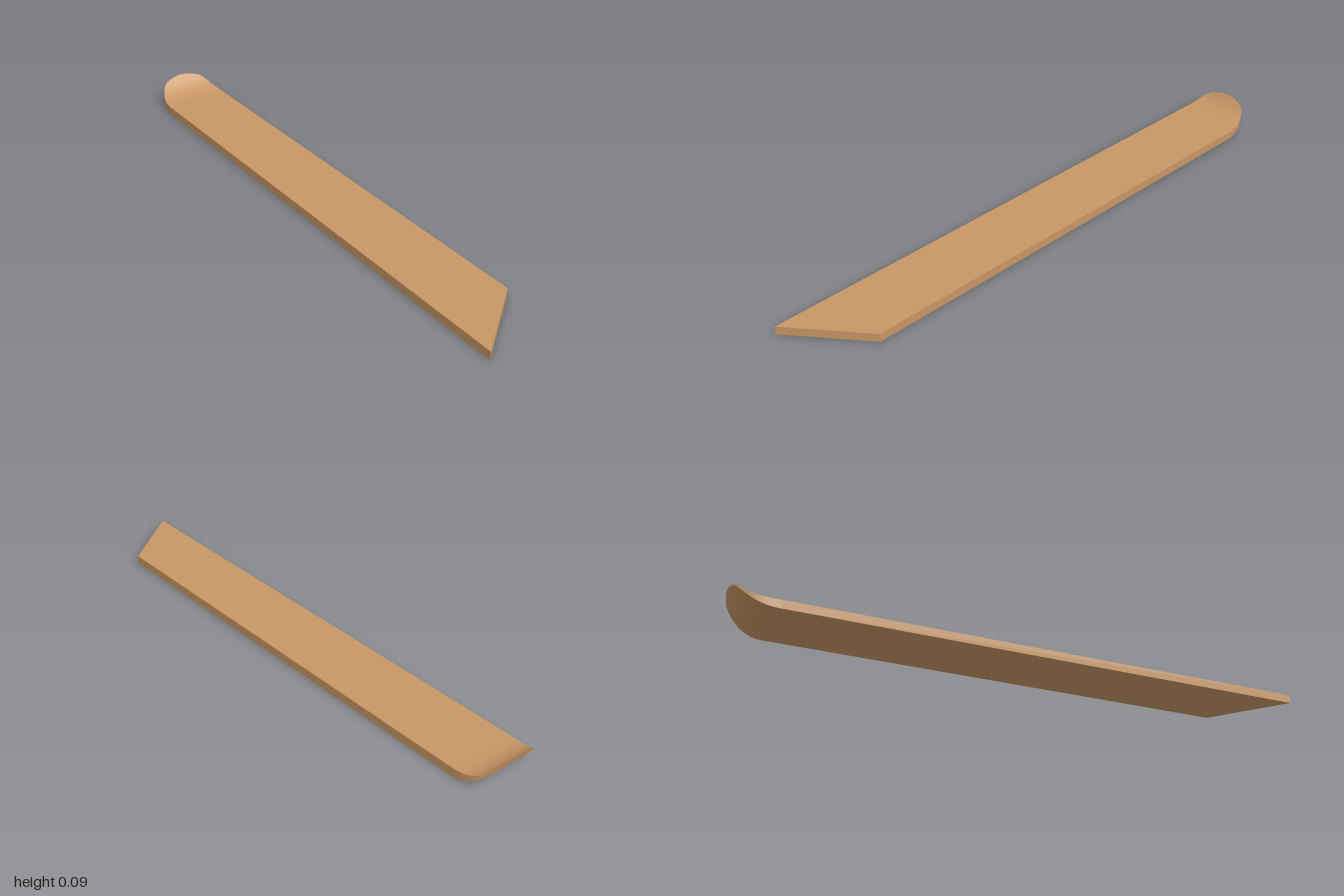
import * as THREE from 'three';
import { mergeGeometries } from 'three/addons/utils/BufferGeometryUtils.js';

const ROWS = 26, COLS = 16;
const HALF_WIDTH = 0.122, TIP_HALF = 0.055;

// Point on the strip: u across (-1..1), row along the length, w from underside (0) to top (1)
function point(u, row, w) {
  let z, half = HALF_WIDTH;
  if (row === 0) z = 0.9 - 0.1 * u; // slanted cut at the front
  else if (row === 1) z = -0.85;
  else { // rounded, narrowing tip
    const a = ((row - 2) / (ROWS - 2)) * Math.PI / 2;
    const t = Math.sin(a);
    half = TIP_HALF + (HALF_WIDTH - TIP_HALF) * Math.cos(a);
    z = -0.87 - 0.122 * t - 0.008 * (1 - u * u) * t ** 4;
  }
  // upturned tip, thinning towards its end
  const q = Math.min(1, Math.max(0, (-0.85 - z) / 0.15));
  const bottom = 0.09 * q ** 2.4;
  const top = 0.03 + 0.063 * q ** 3.2;
  return [u * half, w ? top : bottom, z];
}

// Grid surface facing along (i direction) x (j direction)
function surface(ni, nj, fn) {
  const pos = [], index = [];
  for (let j = 0; j <= nj; j++)
    for (let i = 0; i <= ni; i++) pos.push(...fn(i, j));
  for (let j = 0; j < nj; j++)
    for (let i = 0; i < ni; i++) {
      const a = j * (ni + 1) + i, d = a + ni + 1;
      index.push(a, a + 1, d + 1, a, d + 1, d);
    }
  const g = new THREE.BufferGeometry();
  g.setAttribute('position', new THREE.Float32BufferAttribute(pos, 3));
  g.setIndex(index);
  g.computeVertexNormals();
  return g;
}

export function createModel() {
  const wood = new THREE.MeshStandardMaterial({ color: 0xc89664 });
  wood.name = 'wood';
  const across = (i) => -1 + (2 * i) / COLS;

  const faces = [
    surface(COLS, ROWS, (i, j) => point(across(i), j, 1)), // top
    surface(COLS, ROWS, (i, j) => point(-across(i), j, 0)), // underside
    surface(ROWS, 1, (i, j) => point(1, i, j)), // left edge
    surface(ROWS, 1, (i, j) => point(-1, ROWS - i, j)), // right edge
    surface(COLS, 1, (i, j) => point(across(i), 0, j)), // slanted front end
    surface(COLS, 1, (i, j) => point(-across(i), ROWS, j)), // tip edge
  ];

  const strip = new THREE.Mesh(mergeGeometries(faces), wood);
  strip.name = 'upturnedStrip';
  const group = new THREE.Group();
  group.name = 'woodenRunner';
  group.add(strip);
  return group;
}
